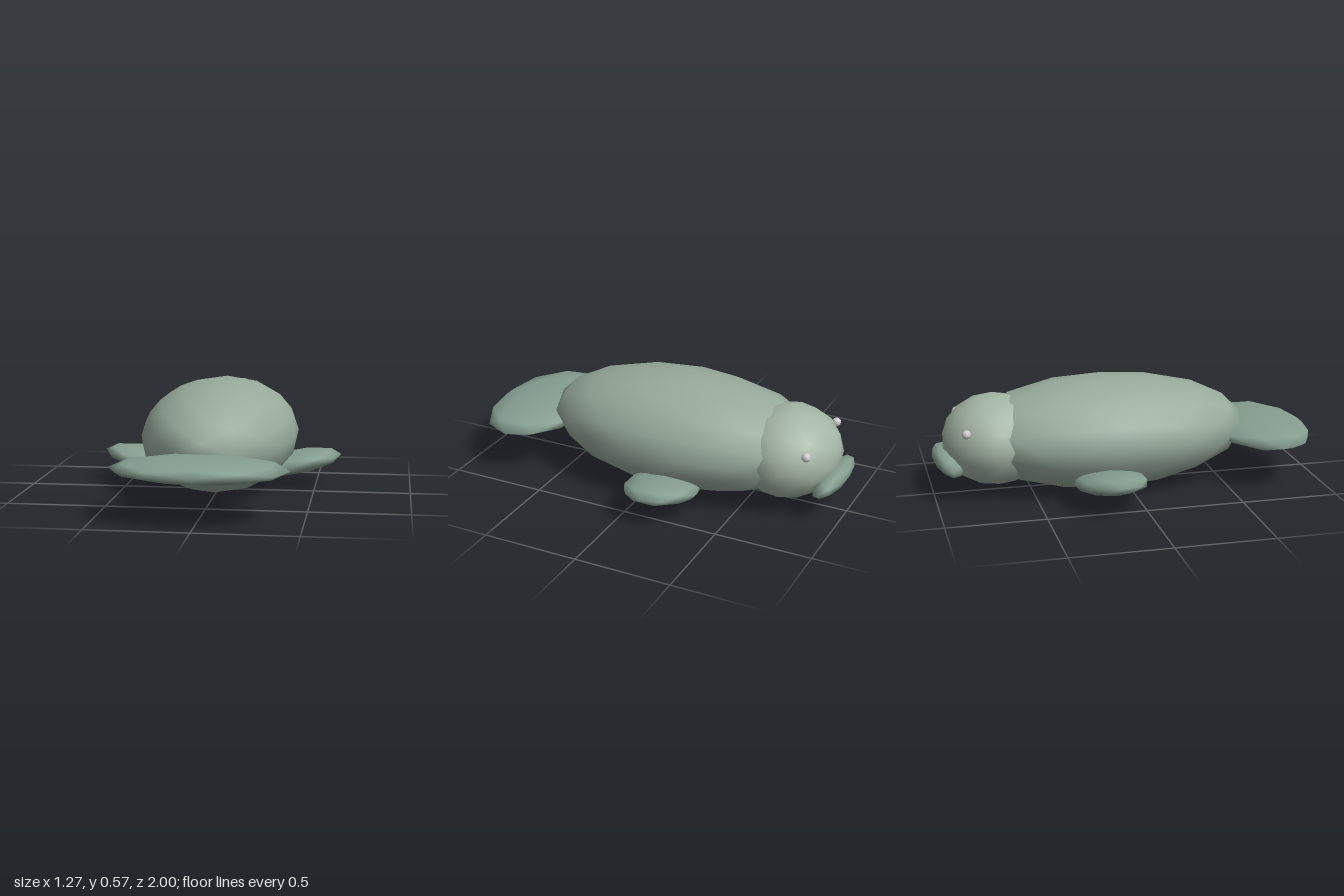
import * as THREE from 'three';

const material = (color) => new THREE.MeshStandardMaterial({ color });
const skin = material(0x98ab9c);
const headSkin = material(0xa4b5a5);
const webSkin = material(0x869e90);
const eyeGrey = material(0xcccccc);

// Low-poly ellipsoid with smooth normals: half sizes, centre, optional rotation
function blob(name, detail, mat, size, position, rotation = [0, 0, 0]) {
  const mesh = new THREE.Mesh(new THREE.IcosahedronGeometry(1, detail), mat);
  mesh.name = name;
  mesh.scale.set(...size);
  mesh.position.set(...position);
  mesh.rotation.set(...rotation);
  return mesh;
}

export function createModel() {
  const model = new THREE.Group();
  model.name = 'swimmingAnimal';

  // Trunk and head, with the snout towards -z
  model.add(blob('body', 2, skin, [0.41, 0.29, 0.745], [0, 0.29, -0.1]));
  model.add(blob('head', 2, headSkin, [0.29, 0.233, 0.27], [0, 0.282, -0.68]));

  // Upturned bill and flat paddle tail
  model.add(blob('bill', 1, webSkin, [0.225, 0.058, 0.09], [0, 0.183, -0.92], [0.6, 0, 0]));
  model.add(blob('tail', 1, webSkin, [0.435, 0.059, 0.26], [0, 0.25, 0.737]));

  // Mirrored flippers and eyes
  for (const [side, s] of [['left', 1], ['right', -1]]) {
    model.add(blob(`${side}Flipper`, 1, webSkin,
      [0.252, 0.06, 0.187], [s * 0.387, 0.13, -0.157], [0, 0, s * 0.19]));
    const eye = new THREE.Mesh(new THREE.SphereGeometry(0.023, 12, 8), eyeGrey);
    eye.name = `${side}Eye`;
    eye.position.set(s * 0.217, 0.375, -0.847);
    model.add(eye);
  }
  return model;
}
